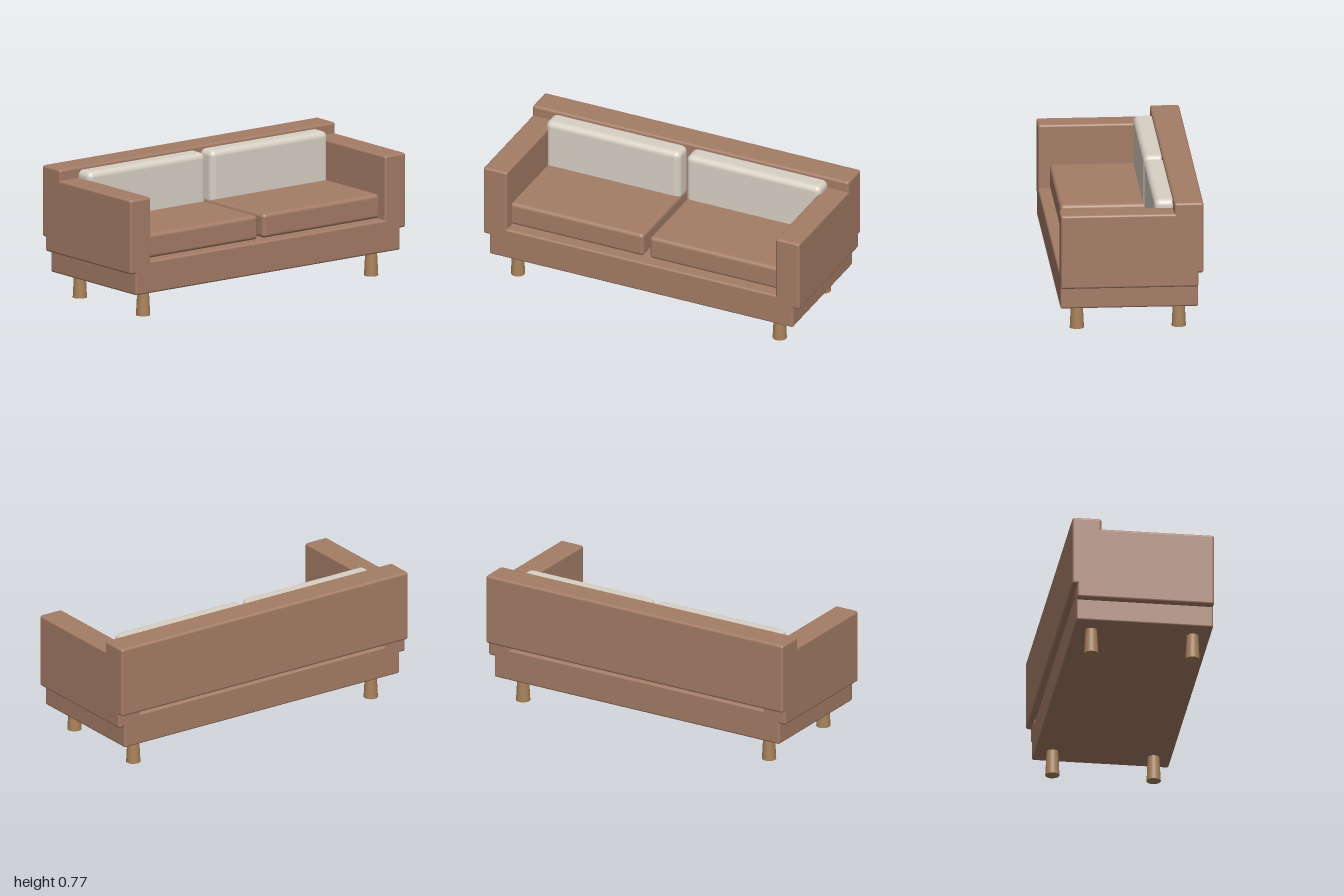
import * as THREE from 'three';
import { RoundedBoxGeometry } from 'three/addons/geometries/RoundedBoxGeometry.js';

export function createModel() {
  const model = new THREE.Group();
  model.name = 'sofa';

  const leather = new THREE.MeshStandardMaterial({ color: 0xa47c66 });
  const fabric = new THREE.MeshStandardMaterial({ color: 0xd8d0c4 });
  const wood = new THREE.MeshStandardMaterial({ color: 0xa8825a });

  // Rounded block given by its extents on each axis
  function block(name, [x0, x1], [y0, y1], [z0, z1], radius, material) {
    const geometry = new RoundedBoxGeometry(x1 - x0, y1 - y0, z1 - z0, 5, radius);
    const mesh = new THREE.Mesh(geometry, material);
    mesh.name = name;
    mesh.position.set((x0 + x1) / 2, (y0 + y1) / 2, (z0 + z1) / 2);
    model.add(mesh);
  }

  // Frame: base and backrest
  block('base', [-0.96, 0.96], [0.148, 0.335], [-0.379, 0.409], 0.012, leather);
  block('backrest', [-1, 1], [0.357, 0.774], [-0.408, -0.24], 0.015, leather);

  // Arms and cushions, mirrored left and right
  for (const [side, s] of [['left', 1], ['right', -1]]) {
    const span = (a, b) => (s > 0 ? [a, b] : [-b, -a]);
    block(side + 'Arm', span(0.85, 1), [0.275, 0.71], [-0.379, 0.409], 0.014, leather);
    block(side + 'SeatCushion', span(0.019, 0.87), [0.333, 0.474], [-0.26, 0.342], 0.022, leather);
    block(side + 'BackCushion', span(0.019, 0.87), [0.44, 0.757], [-0.26, -0.135], 0.035, fabric);

    // Tapered legs, wider at the floor
    for (const [end, z] of [['Front', 0.306], ['Back', -0.277]]) {
      const leg = new THREE.Mesh(new THREE.CylinderGeometry(0.033, 0.041, 0.155, 32), wood);
      leg.name = side + end + 'Leg';
      leg.position.set(s * 0.828, 0.0775, z);
      model.add(leg);
    }
  }

  return model;
}
